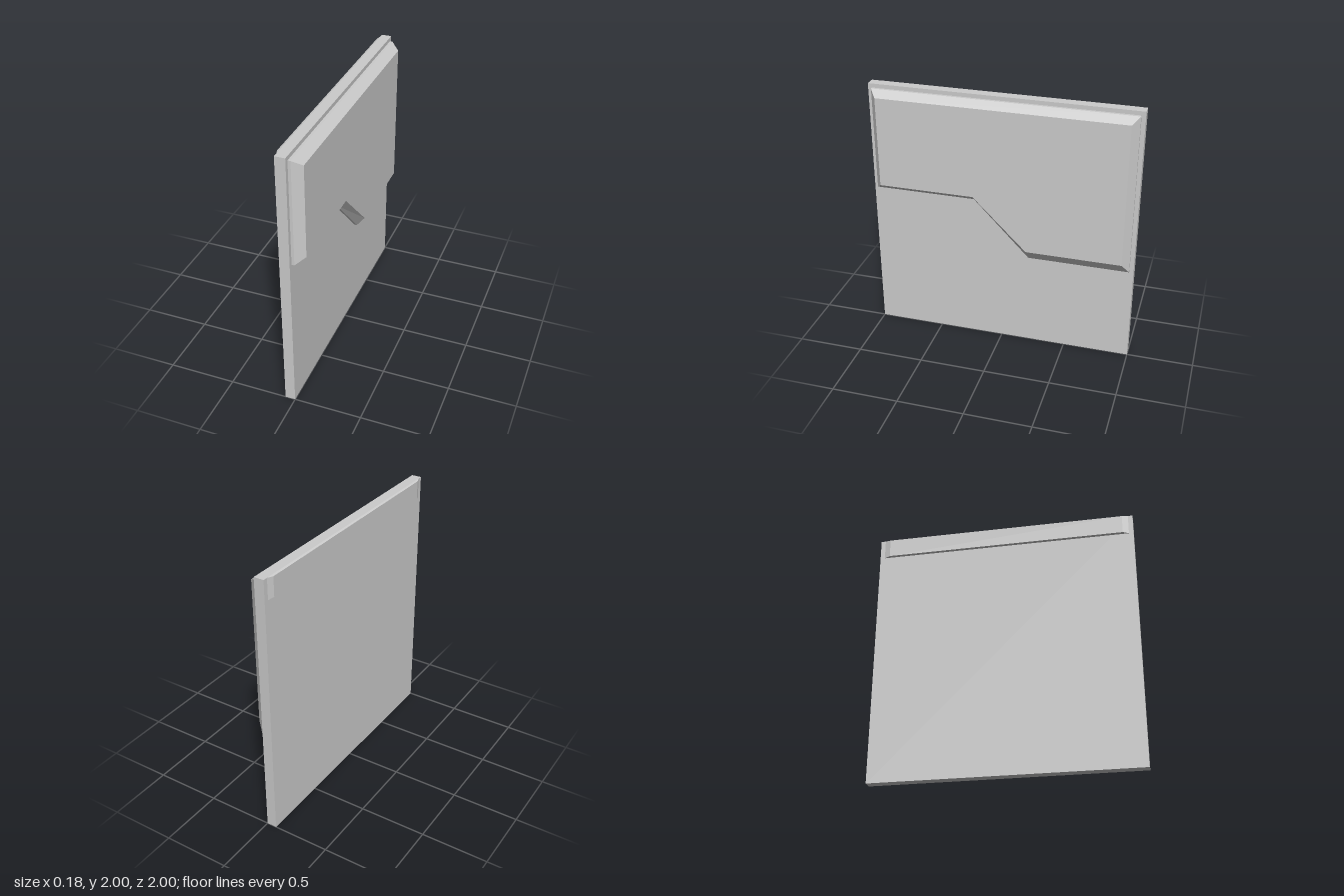
import * as THREE from 'three';

const material = new THREE.MeshStandardMaterial({ color: 0xcccccc, flatShading: true });

// Relief built from matching counter-clockwise outlines, each at its own height along +z,
// closed by a flat face on the last outline.
function relief(name, rings) {
  const pos = [];
  const tri = (...corners) => corners.forEach((c) => pos.push(...c));
  const loops = rings.map(({ height, outline }) => outline.map(([u, v]) => [u, v, height]));
  for (let r = 0; r < loops.length - 1; r++) {
    const low = loops[r], high = loops[r + 1], n = low.length;
    for (let i = 0; i < n; i++) {
      const j = (i + 1) % n;
      tri(low[i], low[j], high[j]);
      tri(low[i], high[j], high[i]);
    }
  }
  const top = loops[loops.length - 1];
  const flat = top.map(([u, v]) => new THREE.Vector2(u, v));
  for (const [a, b, c] of THREE.ShapeUtils.triangulateShape(flat, [])) tri(top[a], top[b], top[c]);
  const geometry = new THREE.BufferGeometry();
  geometry.setAttribute('position', new THREE.Float32BufferAttribute(pos, 3));
  geometry.computeVertexNormals();
  const mesh = new THREE.Mesh(geometry, material);
  mesh.name = name;
  return mesh;
}

export function createModel() {
  const model = new THREE.Group();
  model.name = 'wallPanel';

  // Flat backing slab
  const slab = new THREE.Mesh(new THREE.BoxGeometry(0.075, 2, 2), material);
  slab.name = 'slab';
  slab.position.set(-0.0375, 1, 0);
  model.add(slab);

  // Stepped, bevelled raised panel on the +x face
  const outer = [[-0.97, 1.185], [-0.21, 1.185], [0.21, 0.75], [0.97, 0.75], [0.97, 1.97], [-0.97, 1.97]];
  const inner = [[-0.92, 1.235], [-0.2, 1.235], [0.205, 0.835], [0.92, 0.835], [0.92, 1.925], [-0.92, 1.925]];
  const panel = relief('raisedPanel', [
    { height: 0, outline: outer },
    { height: 0.02, outline: outer },
    { height: 0.085, outline: inner },
  ]);
  panel.rotation.y = Math.PI / 2;
  model.add(panel);

  // Shallow bevelled rail along the top of the -x face
  const rail = relief('backRail', [
    { height: 0.075, outline: [[-0.965, 1.845], [0.965, 1.845], [0.965, 2], [-0.965, 2]] },
    { height: 0.09, outline: [[-0.92, 1.852], [0.92, 1.852], [0.92, 1.995], [-0.92, 1.995]] },
  ]);
  rail.rotation.y = -Math.PI / 2;
  model.add(rail);

  return model;
}
